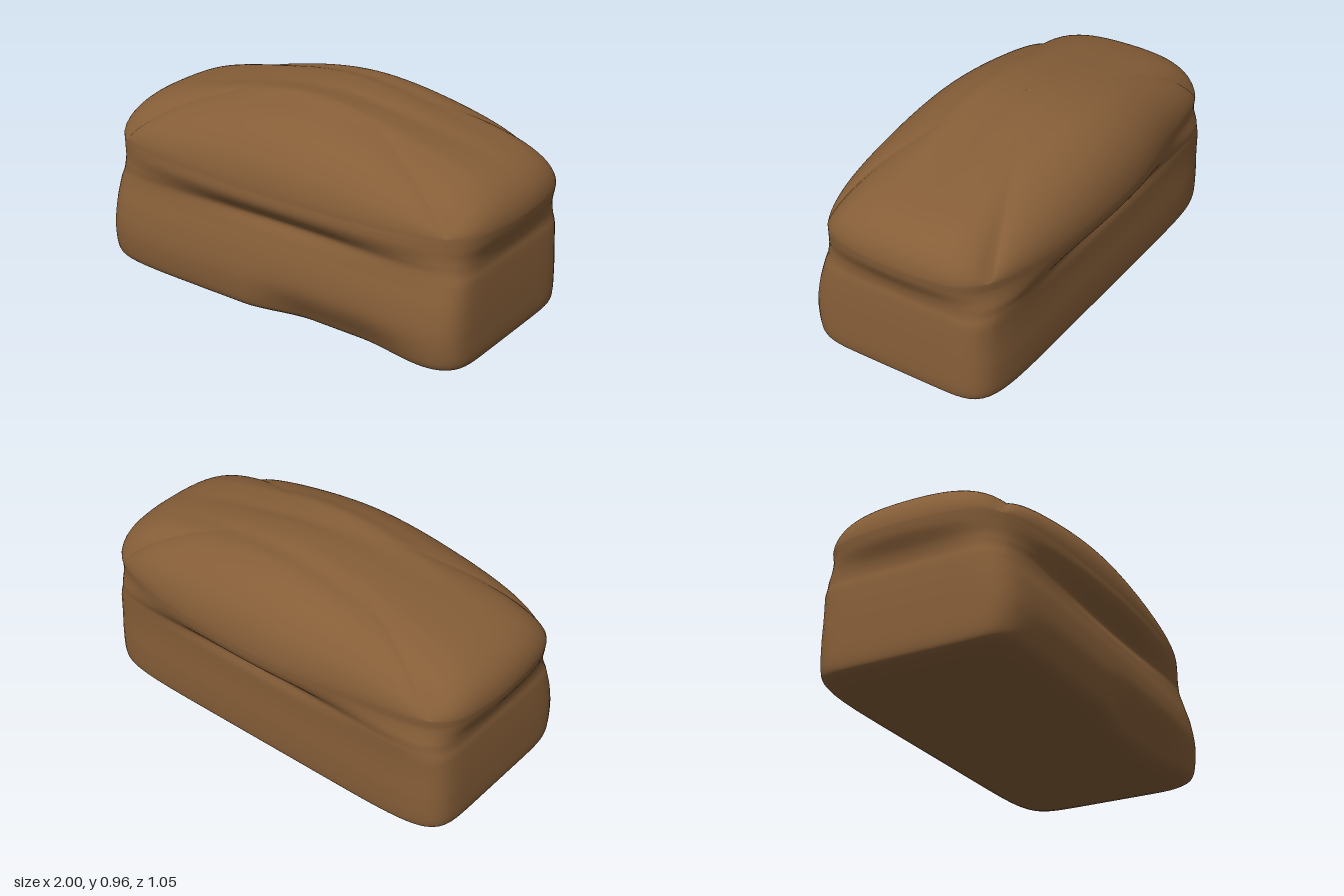
import * as THREE from 'three';

// Loaf levels: height, half length, front z, back z, squareness of the outline
const LEVELS = [
  [0, 0.88, 0.43, -0.39, 8],
  [0.02, 0.945, 0.48, -0.425, 8],
  [0.06, 0.968, 0.51, -0.437, 9],
  [0.18, 0.97, 0.525, -0.442, 9],
  [0.3, 0.965, 0.51, -0.44, 9],
  [0.4, 0.957, 0.482, -0.443, 9],
  [0.45, 0.95, 0.48, -0.455, 8],
  [0.5, 0.96, 0.5, -0.487, 8],
  [0.56, 0.99, 0.528, -0.518, 8],
  [0.61, 1.0, 0.527, -0.526, 8],
];

const LONG = 56, SHORT = 30;
const bell = (v, centre, width) => Math.exp(-(((v - centre) / width) ** 2));
const ramp = THREE.MathUtils.smoothstep;

// Catmull-Rom through rows of numbers, t from 0 to 1
function sampleRows(rows, t) {
  const f = t * (rows.length - 1);
  const i = Math.min(Math.floor(f), rows.length - 2), u = f - i;
  const row = (k) => rows[Math.max(0, Math.min(rows.length - 1, k))];
  return rows[i].map((_, c) => {
    const [a, b, d, e] = [row(i - 1)[c], row(i)[c], row(i + 1)[c], row(i + 2)[c]];
    return b + 0.5 * u * (d - a + u * (2 * a - 5 * b + 4 * d - e + u * (3 * (b - d) + e - a)));
  });
}

// Unit square perimeter, walked from +x towards +z
function perimeter() {
  const pts = [];
  for (let i = 0; i < SHORT; i++) pts.push([1, -1 + (2 * i) / SHORT]);
  for (let i = 0; i < LONG; i++) pts.push([1 - (2 * i) / LONG, 1]);
  for (let i = 0; i < SHORT; i++) pts.push([-1, 1 - (2 * i) / SHORT]);
  for (let i = 0; i < LONG; i++) pts.push([-1 + (2 * i) / LONG, -1]);
  return pts;
}

function loafPoint([a, b], [y, hx, zf, zb, n], r) {
  const s = r * (Math.abs(a) ** n + Math.abs(b) ** n) ** (-1 / n);
  const front = b > 0;
  const upper = ramp(y, 0.43, 0.58);
  const mid = (zf + zb) / 2, half = (zf - zb) / 2;

  // The risen part swells in the middle of each side and end
  const x = a * s * hx * (1 - 0.055 * upper * (b * s) ** 2);
  const taper = front ? 0.17 * x * x : 0.23 * x * x + 0.06 * bell(x, -0.55, 0.3);
  let depth = b * s * half;
  // Scale about z = 0 so front and back taper independently
  depth -= upper * taper * Math.abs(b * s) * (front ? zf : zb);

  // Side creases under the crown and the hollow low on the front
  const side = Math.abs(b * s) ** 5;
  const crease = 0.03 * bell(y, 0.47, 0.04) * bell(x, front ? 0.1 : 0, 0.55);
  const hollow = front ? 0.06 * bell(y, 0.03, 0.12) * ramp(x, -0.15, 0.2) * (1 - ramp(x, 0.45, 0.9)) : 0;
  depth -= Math.sign(b) * side * (crease + hollow);
  return [x, y, mid + depth];
}

// Rounded crown, steep at the ends, with soft lengthwise ridges
function crownPoint(p, level, r) {
  const [x, y, z] = loafPoint(p, level, r);
  const across = 1 - Math.abs(p[1] * r) ** (p[1] > 0 ? 2.6 : 3.2);
  const along = 1 - Math.abs(p[0] * r) ** 7;
  const dome = Math.sqrt(Math.max(0, across * along));
  const rise = 0.345 - 0.125 * ramp(Math.abs(x), 0, 0.95);
  const ridges = 0.012 * bell(z, 0.17, 0.05) * bell(x, 0.1, 0.6)
    - 0.01 * bell(z, 0.04 - 0.05 * x, 0.05) * bell(x, 0.25, 0.5)
    - 0.012 * bell(z, -0.21 + 0.05 * x, 0.05) * bell(x, 0, 0.6);
  return [x, y + (rise + ridges) * dome, z];
}

function loafGeometry() {
  const outline = perimeter(), count = outline.length;
  const rings = [];
  // Flat base
  for (let i = 0; i < 6; i++) rings.push(outline.map((p) => loafPoint(p, LEVELS[0], 0.001 + (0.999 * i) / 6)));
  // Sides
  for (let i = 0; i <= 64; i++) {
    const level = sampleRows(LEVELS, i / 64);
    rings.push(outline.map((p) => loafPoint(p, level, 1)));
  }
  // Crown, with rings closer together at the shoulder
  const top = LEVELS[LEVELS.length - 1];
  for (let i = 1; i <= 48; i++) {
    const r = Math.max(0.001, Math.cos((i / 48) * Math.PI / 2));
    rings.push(outline.map((p) => crownPoint(p, top, r)));
  }

  const index = [];
  for (let j = 0; j < rings.length - 1; j++) {
    for (let i = 0; i < count; i++) {
      const a = j * count + i, b = j * count + ((i + 1) % count);
      index.push(a, a + count, b, b, a + count, b + count);
    }
  }
  const geometry = new THREE.BufferGeometry();
  geometry.setAttribute('position', new THREE.Float32BufferAttribute(rings.flat(2), 3));
  geometry.setIndex(index);
  geometry.computeVertexNormals();
  return geometry;
}

export function createModel() {
  const crust = new THREE.MeshStandardMaterial({ color: 0x865e38 });
  crust.name = 'brown crust';

  const loaf = new THREE.Mesh(loafGeometry(), crust);
  loaf.name = 'loaf';

  const model = new THREE.Group();
  model.name = 'breadLoaf';
  model.add(loaf);
  return model;
}
